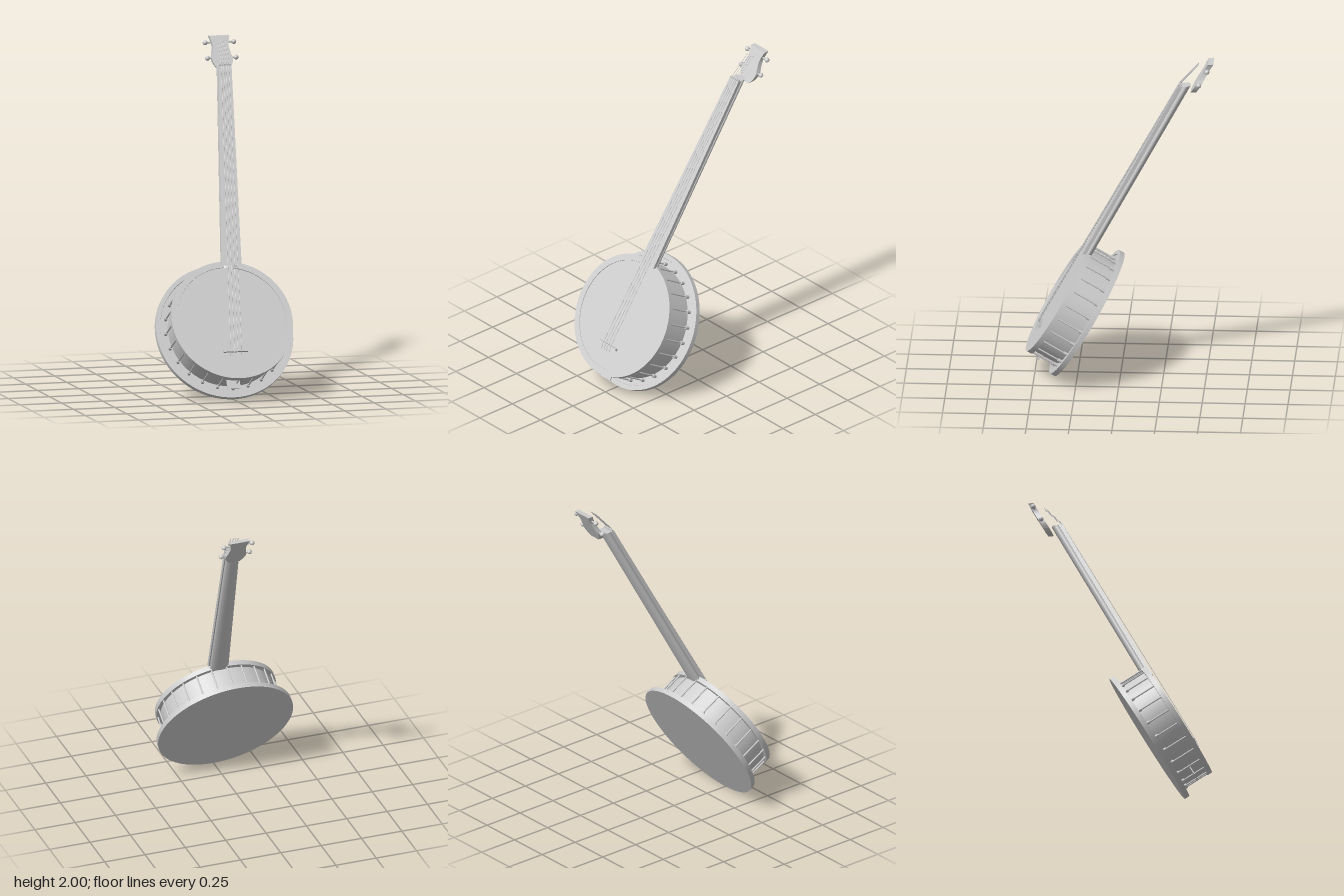
import * as THREE from 'three';
import { toCreasedNormals } from 'three/addons/utils/BufferGeometryUtils.js';

const grey = new THREE.MeshStandardMaterial({ color: 0xcccccc });
grey.name = 'plain grey';

function add(parent, name, geometry, x = 0, y = 0, z = 0) {
  const mesh = new THREE.Mesh(geometry, grey);
  mesh.name = name;
  mesh.position.set(x, y, z);
  parent.add(mesh);
  return mesh;
}

// Solid of revolution with crisp edges, from [radius, height] pairs listed upwards
function turned(points) {
  const profile = points.map(([r, h]) => new THREE.Vector2(r, h));
  return toCreasedNormals(new THREE.LatheGeometry(profile, 72), 0.6);
}

// Stretches a 2-unit-wide, 1-unit-high solid between two level sections {x, y, z, w, d}
function slanted(geometry, a, b) {
  const p = geometry.attributes.position;
  const mix = THREE.MathUtils.lerp;
  for (let i = 0; i < p.count; i++) {
    const t = p.getY(i) + 0.5;
    p.setXYZ(i,
      mix(a.x, b.x, t) + p.getX(i) * mix(a.w, b.w, t),
      mix(a.y, b.y, t),
      mix(a.z, b.z, t) + p.getZ(i) * mix(a.d, b.d, t));
  }
  geometry.computeVertexNormals();
  return geometry;
}

function createBody() {
  const body = new THREE.Group();
  body.name = 'body';
  // Local y runs from the back plate to the drum head
  body.position.set(0, 0.36, 0.185);
  body.rotation.x = Math.PI / 3;

  add(body, 'backPlate', turned([[0, 0], [0.412, 0], [0.412, 0.03], [0.386, 0.03], [0.384, 0.024], [0, 0.024]]));
  add(body, 'rim', turned([[0.34, 0.02], [0.34, 0.2]]));
  add(body, 'tensionHoop', turned([[0.33, 0.185], [0.365, 0.185], [0.365, 0.215], [0.328, 0.215], [0.327, 0.21]]));
  add(body, 'drumHead', turned([[0.328, 0.19], [0.328, 0.211], [0, 0.211]]));

  // Tension hooks and their nuts
  const rod = new THREE.CylinderGeometry(0.005, 0.005, 0.165, 8);
  const nut = new THREE.CylinderGeometry(0.01, 0.01, 0.026, 10);
  for (let i = 0; i < 24; i++) {
    const a = (i * Math.PI) / 12;
    const x = 0.356 * Math.sin(a), z = 0.356 * Math.cos(a);
    add(body, 'tensionHook', rod, x, 0.108, z);
    add(body, 'hookNut', nut, x, 0.037, z);
  }

  add(body, 'bridge', new THREE.BoxGeometry(0.147, 0.018, 0.014), -0.008, 0.218, 0.194);
  add(body, 'tailpiece', new THREE.BoxGeometry(0.08, 0.006, 0.06), -0.02, 0.115, 0.361);
  return body;
}

function createNeck() {
  const neck = new THREE.Group();
  neck.name = 'neck';
  add(neck, 'neckShaft', slanted(new THREE.CylinderGeometry(1, 1, 1, 40),
    { x: 0.04, y: 0.75, z: 0.19, w: 0.058, d: 0.026 },
    { x: 0.165, y: 1.85, z: -0.39, w: 0.039, d: 0.028 }));
  add(neck, 'fingerboard', slanted(new THREE.BoxGeometry(2, 1, 2),
    { x: 0.04, y: 0.765, z: 0.208, w: 0.061, d: 0.011 },
    { x: 0.165, y: 1.85, z: -0.36, w: 0.039, d: 0.012 }));
  add(neck, 'nut', new THREE.BoxGeometry(0.074, 0.012, 0.01), 0.165, 1.853, -0.357);
  return neck;
}

function createHeadstock() {
  const headstock = new THREE.Group();
  headstock.name = 'headstock';
  headstock.position.set(0.179, 1.82, -0.45);
  const slope = 0.56;

  // Mirrored outline with a narrow waist, leaned back by shearing
  const side = new THREE.SplineCurve([[0.033, 0], [0.052, 0.022], [0.063, 0.055], [0.054, 0.09], [0.048, 0.13], [0.056, 0.165], [0.062, 0.18]]
    .map(([x, y]) => new THREE.Vector2(x, y))).getPoints(24);
  const mirrored = side.map((p) => new THREE.Vector2(-p.x, p.y)).reverse();
  const geometry = new THREE.ExtrudeGeometry(new THREE.Shape([...side, ...mirrored]), { depth: 0.032, bevelEnabled: false });
  geometry.applyMatrix4(new THREE.Matrix4().set(1, 0, 0, 0, 0, 1, 0, 0, 0, -slope, 1, 0, 0, 0, 0, 1));
  add(headstock, 'headPlate', toCreasedNormals(geometry, 0.6));

  // Two tuning pegs on each side
  const shaft = new THREE.CylinderGeometry(0.005, 0.005, 0.05, 10).rotateZ(Math.PI / 2);
  const knob = new THREE.SphereGeometry(0.0145, 20, 14);
  for (const s of [-1, 1]) {
    for (const y of [0.06, 0.145]) {
      const z = 0.016 - slope * y;
      add(headstock, 'pegShaft', shaft, s * 0.06, y, z);
      add(headstock, 'pegKnob', knob, s * 0.087, y, z);
    }
  }
  return headstock;
}

function createStrings() {
  const strings = new THREE.Group();
  strings.name = 'strings';
  for (let i = 0; i < 4; i++) {
    const k = i - 1.5;
    const path = new THREE.CurvePath();
    const points = [
      new THREE.Vector3(-0.012 + k * 0.022, 0.275, 0.49),
      new THREE.Vector3(-0.008 + k * 0.022, 0.312, 0.481),
      new THREE.Vector3(0.165 + k * 0.015, 1.86, -0.352),
      new THREE.Vector3(0.18 + k * 0.016, 1.985, -0.464),
    ];
    for (let j = 0; j < 3; j++) path.add(new THREE.LineCurve3(points[j], points[j + 1]));
    add(strings, 'string', new THREE.TubeGeometry(path, 60, 0.0015, 6));
  }
  return strings;
}

export function createModel() {
  const model = new THREE.Group();
  model.name = 'banjo';
  model.add(createBody(), createNeck(), createHeadstock(), createStrings());
  return model;
}
